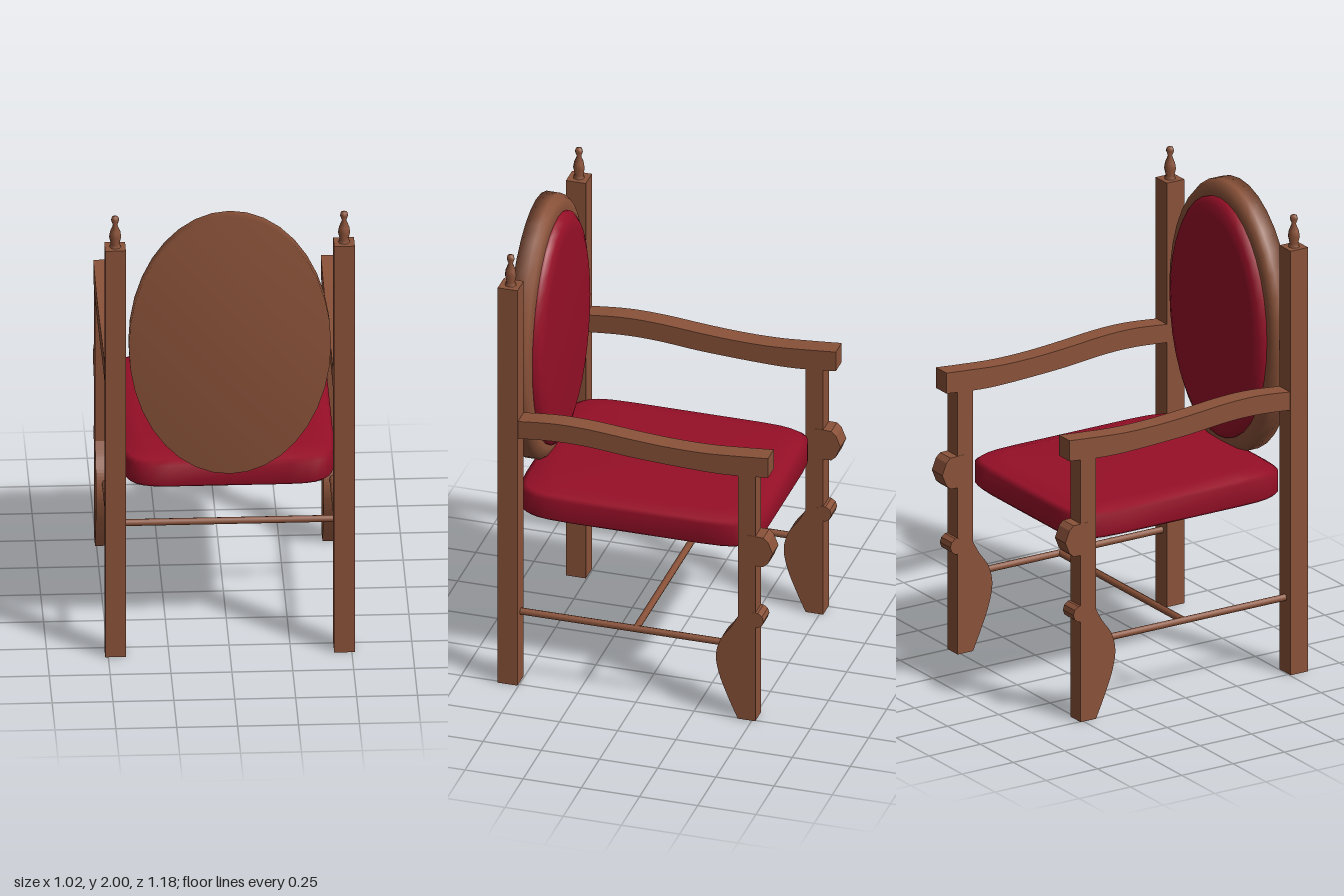
import * as THREE from 'three';

export function createModel() {
  const chair = new THREE.Group();
  chair.name = 'armchair';
  const wood = new THREE.MeshStandardMaterial({ color: 0x8a5239 });
  wood.name = 'brown wood';
  const fabric = new THREE.MeshStandardMaterial({ color: 0x960f27 });
  fabric.name = 'red upholstery';

  const add = (name, geometry, material, x = 0, y = 0, z = 0) => {
    const mesh = new THREE.Mesh(geometry, material);
    mesh.name = name;
    mesh.position.set(x, y, z);
    chair.add(mesh);
    return mesh;
  };

  // Extrudes a side outline, drawn as (z, y), across the given width in x
  const sideExtrude = (shape, width) => {
    const g = new THREE.ExtrudeGeometry(shape, { depth: width, bevelEnabled: false, curveSegments: 5 });
    g.translate(0, 0, -width / 2);
    g.rotateY(-Math.PI / 2); // shape x becomes z, depth becomes -x
    return g;
  };
  const v = (pts) => pts.map(([a, b]) => new THREE.Vector2(a, b));

  // Wavy armrest outline
  const armShape = new THREE.Shape();
  armShape.moveTo(0.505, 1.24);
  armShape.splineThru(v([[0.35, 1.254], [0.2, 1.252], [0, 1.235], [-0.15, 1.226], [-0.3, 1.225], [-0.45, 1.235], [-0.57, 1.245]]));
  armShape.lineTo(-0.57, 1.155);
  armShape.splineThru(v([[-0.4, 1.14], [-0.25, 1.14], [0, 1.152], [0.2, 1.17], [0.35, 1.172], [0.505, 1.16]]));

  // Front leg: straight post with a curved calf at the back of its foot
  const legShape = new THREE.Shape();
  legShape.moveTo(-0.44, 1.17);
  legShape.lineTo(-0.44, 0.48);
  legShape.splineThru(v([[-0.41, 0.425], [-0.365, 0.36], [-0.346, 0.28], [-0.362, 0.19], [-0.4, 0.09], [-0.44, 0]]));
  legShape.lineTo(-0.515, 0);
  legShape.lineTo(-0.515, 1.17);

  // Carved knobs on the front of the leg
  const knobShape = new THREE.Shape(v([[-0.48, 0.87], [-0.55, 0.868], [-0.57, 0.85], [-0.59, 0.8], [-0.57, 0.75], [-0.55, 0.732], [-0.48, 0.73]]));
  const beadShape = new THREE.Shape();
  beadShape.absarc(-0.515, 0.475, 0.036, 0, Math.PI * 2);

  const finialProfile = v([[0.024, 0], [0.018, 0.015], [0.025, 0.045], [0.021, 0.07], [0.009, 0.1], [0.017, 0.122], [0.013, 0.136], [0, 0.142]]);

  for (const [side, s] of [['left', 1], ['right', -1]]) {
    add(side + ' back post', new THREE.BoxGeometry(0.085, 1.858, 0.085), wood, s * 0.47, 0.929, 0.547);
    add(side + ' finial', new THREE.LatheGeometry(finialProfile, 8), wood, s * 0.47, 1.858, 0.547);
    add(side + ' armrest', sideExtrude(armShape, 0.08), wood, s * 0.467);
    add(side + ' front leg', sideExtrude(legShape, 0.078), wood, s * 0.467);
    add(side + ' leg knob', sideExtrude(knobShape, 0.08), wood, s * 0.467);
    add(side + ' leg bead', sideExtrude(beadShape, 0.08), wood, s * 0.467);
    add(side + ' stretcher', new THREE.CylinderGeometry(0.015, 0.015, 0.9, 8), wood, s * 0.467, 0.327, 0.07).rotation.x = Math.PI / 2;
  }
  add('cross stretcher', new THREE.CylinderGeometry(0.015, 0.015, 0.934, 8), wood, 0, 0.327, 0.01).rotation.z = Math.PI / 2;

  // Oval discs: (radius, depth) profile spun around z, stretched to an ellipse
  const oval = (name, profile, material, rx, ry) => {
    const g = new THREE.LatheGeometry(v(profile), 36);
    g.rotateX(Math.PI / 2);
    g.scale(rx, ry, 1);
    return add(name, g, material, 0, 1.413, 0);
  };
  oval('oval back frame', [[0, 0.49], [0.91, 0.49], [0.97, 0.5], [1, 0.525], [1, 0.585], [0, 0.585]], wood, 0.415, 0.587);
  oval('back cushion', [[0, 0.444], [0.86, 0.447], [0.95, 0.46], [1, 0.48], [1, 0.5]], fabric, 0.355, 0.52);

  // Seat cushion lofted through rounded-rectangle rings: [y, half width, half depth]
  const rings = [[0.75, 0, 0], [0.75, 0.425, 0.505], [0.765, 0.438, 0.52], [0.85, 0.438, 0.52], [0.864, 0.425, 0.495], [0.88, 0.36, 0.41], [0.882, 0, 0]];
  const n = 32, pos = [], idx = [];
  rings.forEach(([y, hw, hd]) => {
    for (let i = 0; i < n; i++) {
      const a = ((i + 0.5) / n) * Math.PI * 2;
      const c = Math.cos(a), d = Math.sin(a), p = 0.25;
      pos.push(hw * Math.sign(c) * Math.abs(c) ** p, y, 0.033 + hd * Math.sign(d) * Math.abs(d) ** p);
    }
  });
  for (let r = 0; r < rings.length - 1; r++) {
    for (let i = 0; i < n; i++) {
      const a = r * n + i, b = r * n + (i + 1) % n;
      idx.push(a, a + n, b, b, a + n, b + n);
    }
  }
  const seat = new THREE.BufferGeometry();
  seat.setAttribute('position', new THREE.Float32BufferAttribute(pos, 3));
  seat.setIndex(idx);
  seat.computeVertexNormals();
  add('seat cushion', seat, fabric);

  return chair;
}
